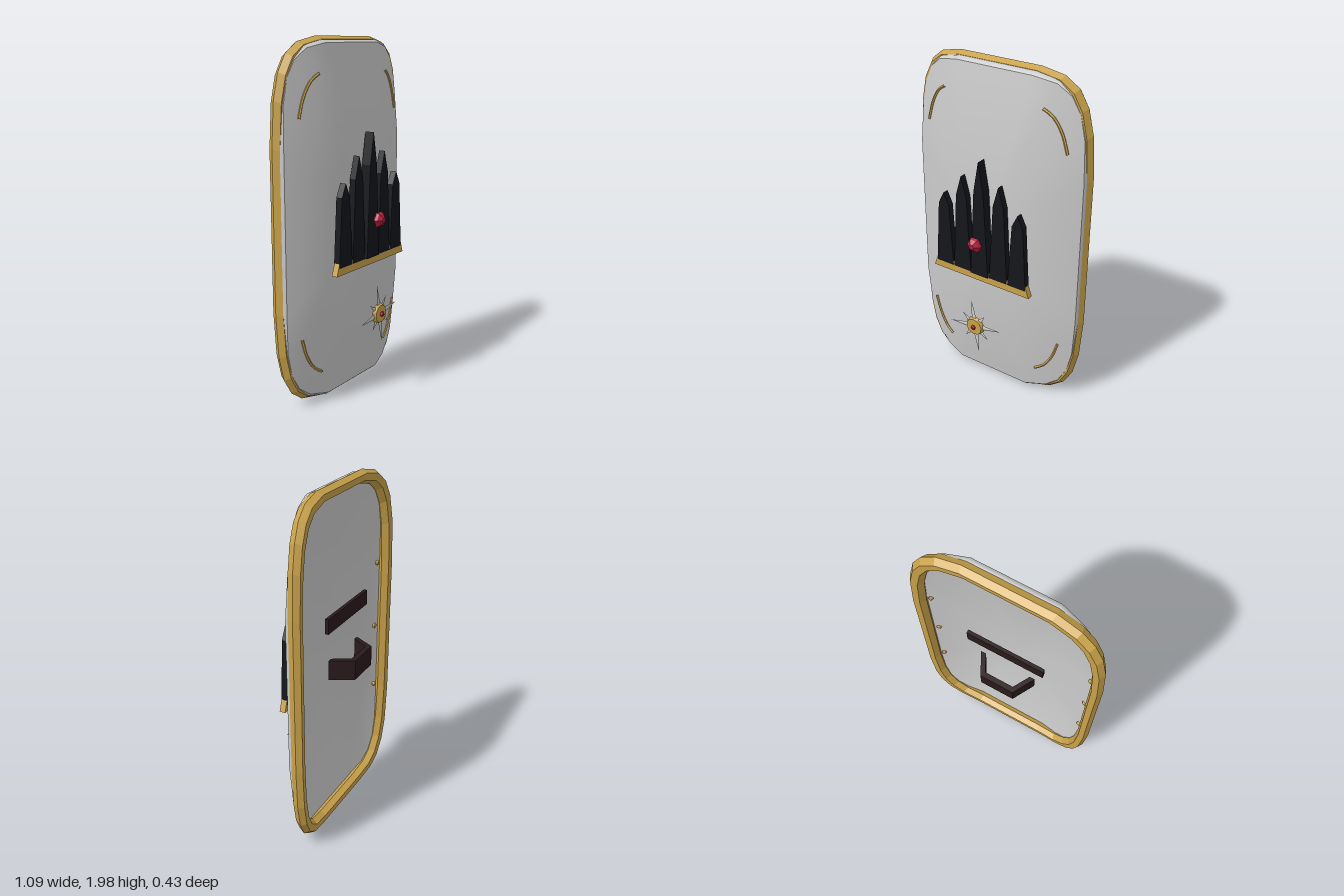
import * as THREE from 'three';

const CY = 1.005, SEG = 24;
const mat = (color, flatShading = true) => new THREE.MeshStandardMaterial({ color, flatShading });
const silver = mat(0xcccccc, false), silverFlat = mat(0xcccccc), gold = mat(0xc9a24a);
const black = mat(0x14161b), brown = mat(0x2a1a1c), red = mat(0xb41f3e);

// Curved front surface of the shield
const frontZ = (x, y) => 0.09 - 0.45 * x * x - 0.068 * (y - CY) ** 2;
const rimZ = (x) => -0.055 - 0.15 * x * x;

// Superelliptic outline, 24 sides with flat top, bottom and flanks
function outline(i, hx, hy) {
  const t = ((i + 0.5) / SEG) * Math.PI * 2, c = Math.cos(t), s = Math.sin(t);
  return [Math.sign(c) * hx * Math.abs(c) ** 0.4, CY + Math.sign(s) * hy * Math.abs(s) ** 0.4];
}

// Skin a series of outline rings, each row = [halfWidth, halfHeight, z offset]
function loft(rows, zAt) {
  const pos = [], idx = [];
  rows.forEach(([hx, hy, dz], r) => {
    for (let i = 0; i < SEG; i++) {
      const [x, y] = outline(i, hx, hy);
      pos.push(x, y, zAt(x, y) + dz);
      if (r === 0) continue;
      const j = (i + 1) % SEG, a = (r - 1) * SEG, b = r * SEG;
      idx.push(a + i, b + i, b + j, a + i, b + j, a + j);
    }
  });
  const g = new THREE.BufferGeometry();
  g.setAttribute('position', new THREE.Float32BufferAttribute(pos, 3));
  g.setIndex(idx);
  g.computeVertexNormals();
  return g;
}

function extrude(points, depth) {
  const shape = new THREE.Shape(points.map(([x, y]) => new THREE.Vector2(x, y)));
  return new THREE.ExtrudeGeometry(shape, { depth, bevelEnabled: false });
}

export function createModel() {
  const model = new THREE.Group();
  const add = (name, geo, material, x = 0, y = 0, z = 0, parent = model) => {
    const m = new THREE.Mesh(geo, material);
    m.name = name;
    m.position.set(x, y, z);
    parent.add(m);
    return m;
  };

  // Shield panel: front, edge and hollow back
  const HX = 0.53, HY = 0.975, RINGS = 14;
  const face = (max, dz) => Array.from({ length: RINGS + 1 }, (_, k) => {
    const s = (max * k) / RINGS + 1e-4;
    return [HX * s, HY * s, dz];
  });
  add('panelFront', loft(face(0.985, 0), frontZ), silver);
  add('panelEdge', loft([[HX * 0.985, HY * 0.985, 0], [HX, HY, -0.015], [HX, HY, -0.035],
    [HX * 0.985, HY * 0.985, -0.045]], frontZ), silver);
  add('panelBack', loft(face(0.985, -0.045).reverse(), frontZ), silver);

  // Hexagonal rim
  const section = [];
  for (let k = 0; k <= 6; k++) {
    const a = (-k / 6) * Math.PI * 2;
    section.push([0.512 + 0.035 * Math.cos(a), 0.959 + 0.035 * Math.cos(a), 0.04 * Math.sin(a)]);
  }
  add('rim', loft(section, rimZ), gold);

  // Corner filigree arcs following the front surface
  for (const sx of [1, -1]) for (const sy of [1, -1]) {
    const pts = [[0.3, 0.805], [0.352, 0.77], [0.402, 0.69], [0.435, 0.585]].map(([x, y]) =>
      new THREE.Vector3(sx * x, CY + sy * y, frontZ(x, CY + y) + 0.004));
    add('cornerArc', new THREE.TubeGeometry(new THREE.CatmullRomCurve3(pts), 8, 0.008, 5), gold);
  }

  // Crown emblem
  const crown = new THREE.Group();
  crown.name = 'crown';
  model.add(crown);
  add('crownBase', extrude([[-0.32, 0.765], [0.32, 0.765], [0.297, 0.83], [-0.297, 0.83]], 0.034),
    gold, 0, 0, 0.098, crown);
  // [centre, tip height, shoulder height, shoulder half width, depth]
  for (const [x, tip, shoulder, w, d] of [[0, 1.495, 1.32, 0.031, 0.055], [0.12, 1.38, 1.26, 0.034, 0.037],
    [-0.12, 1.38, 1.26, 0.034, 0.037], [0.24, 1.25, 1.18, 0.034, 0.037], [-0.24, 1.25, 1.18, 0.034, 0.037]]) {
    add('crownSpike', extrude([[-0.058, 0.805], [0.058, 0.805], [w, shoulder], [0, tip], [-w, shoulder]], d),
      black, x, 0, 0.114 - d / 2, crown);
  }
  const gem = (r, h) => new THREE.LatheGeometry([[0, -h], [r, 0], [r * 0.85, h * 0.45], [r * 0.35, h], [0, h]]
    .map(([x, y]) => new THREE.Vector2(x, y)), 6).rotateX(Math.PI / 2).rotateZ(Math.PI / 6 * 3);
  add('crownGem', gem(0.046, 0.035), red, 0, 1.022, 0.177, crown);

  // Eight-pointed star
  const star = new THREE.Group();
  star.name = 'star';
  star.position.set(0, 0.485, 0.185);
  star.rotation.z = 0.14;
  model.add(star);
  for (let i = 0; i < 8; i++) {
    const tip = i % 2 ? 0.11 : 0.175, len = tip - 0.03;
    const ray = new THREE.ConeGeometry(0.018, len, 4).translate(0, 0.03 + len / 2, 0).scale(1, 1, 0.25);
    add('starRay', ray.rotateZ((i * Math.PI) / 4), silverFlat, 0, 0, 0, star);
  }
  add('starDisc', new THREE.CylinderGeometry(0.05, 0.06, 0.02, 12).rotateX(Math.PI / 2), gold, 0, 0, 0.003, star);
  add('starGem', gem(0.016, 0.014), red, 0, 0, 0.018, star);

  // Arm strap and hand grip on the back
  add('armStrap', new THREE.BoxGeometry(0.45, 0.085, 0.02), brown, 0, 1.29, -0.11);
  const grip = extrude([[-0.168, 0.09], [-0.138, 0.09], [-0.085, 0.185], [0.085, 0.185], [0.138, 0.09],
    [0.168, 0.09], [0.1, 0.215], [-0.1, 0.215]], 0.115);
  add('handGrip', grip.rotateX(-Math.PI / 2), brown, 0, 0.947, 0);

  // Rivets on the back
  const rivet = (x, y, r) => add('rivet', new THREE.SphereGeometry(r, 8, 6), gold, x, y, frontZ(x, y) - 0.047);
  for (const y of [0.15, 1.86]) rivet(0, y, 0.018);
  for (const sx of [1, -1]) for (const dy of [-0.4, 0, 0.4]) rivet(sx * 0.465, CY + dy, dy ? 0.014 : 0.018);

  return model;
}
